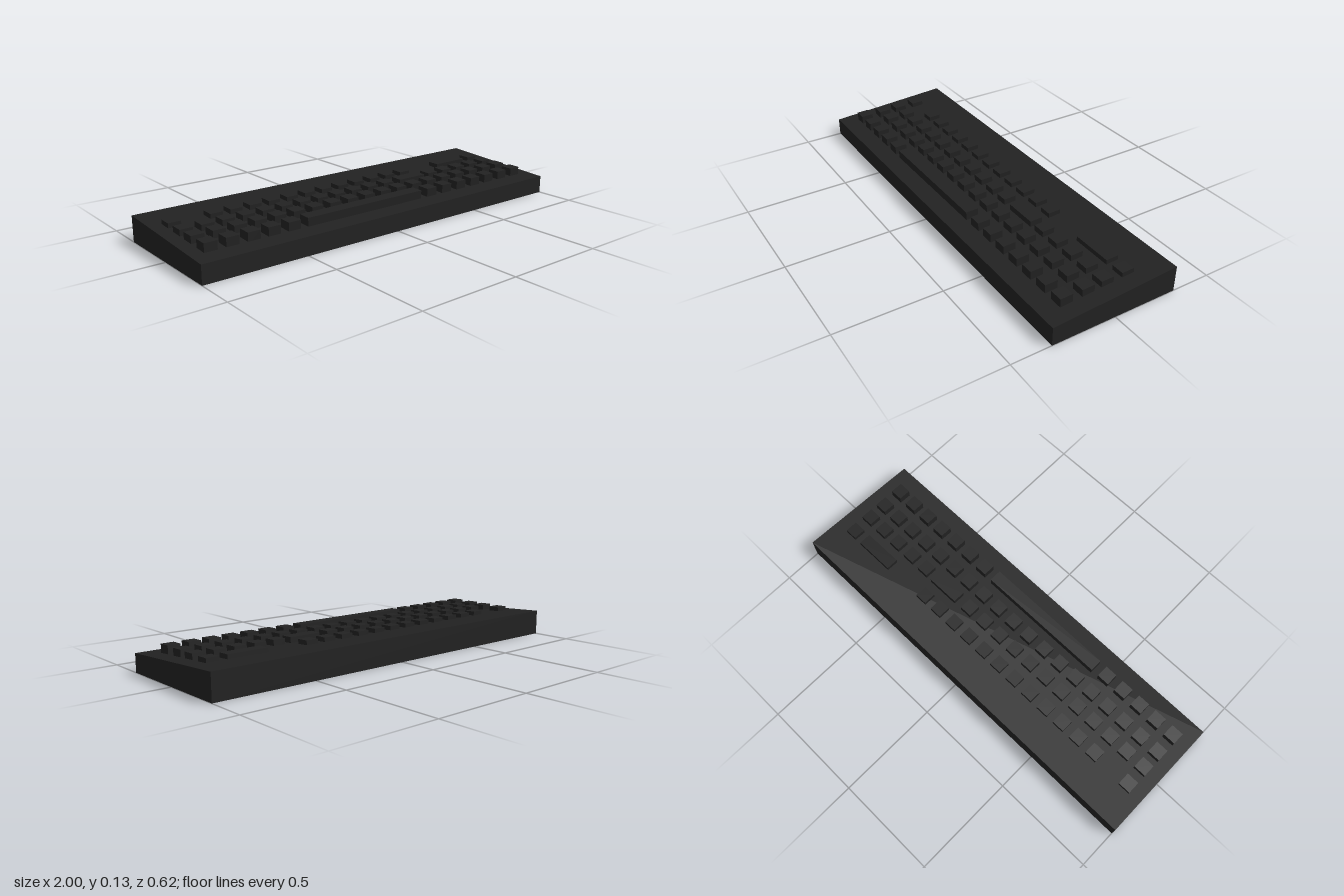
import * as THREE from 'three';

const KEY = 0.061, PITCH = 0.1, FIRST_X = -0.907;

export function createModel() {
  const model = new THREE.Group();
  model.name = 'keyboard';
  const material = new THREE.MeshStandardMaterial({ color: 0x222222, flatShading: true });

  // Wedge-shaped case: the side profile, extruded across the width
  const profile = new THREE.Shape([
    [-0.31, 0], [0.31, 0], [0.31, 0.123], [-0.31, 0.087],
  ].map(([x, y]) => new THREE.Vector2(x, y)));
  const caseGeometry = new THREE.ExtrudeGeometry(profile, { depth: 2, bevelEnabled: false });
  caseGeometry.translate(0, 0, -1).rotateY(Math.PI / 2);
  const body = new THREE.Mesh(caseGeometry, material);
  body.name = 'case';
  model.add(body);

  // One key cap between two x positions, slightly tipped towards the front
  function addKey(row, name, x0, x1) {
    const key = new THREE.Mesh(new THREE.BoxGeometry(x1 - x0, 0.06, KEY), material);
    key.position.x = (x0 + x1) / 2;
    key.name = name;
    row.add(key);
  }

  // Rows from back to front: runs of single keys [first, last] and wide keys [x0, x1]
  const rows = [
    { name: 'backRow', z: -0.118, runs: [[0, 0], [2, 13], [18, 18]], wide: [[0.626, 0.824]] },
    { name: 'upperRow', z: -0.013, runs: [[0, 11], [14, 18]], wide: [[0.268, 0.432]] },
    { name: 'lowerRow', z: 0.083, runs: [[0, 18]], wide: [] },
    { name: 'frontRow', z: 0.19, runs: [[0, 4], [12, 18]], wide: [[-0.438, 0.222]] },
  ];
  for (const { name, z, runs, wide } of rows) {
    const row = new THREE.Group();
    row.name = name;
    row.position.set(0, 0.103, z);
    row.rotation.x = 0.025;
    for (const [first, last] of runs) {
      for (let i = first; i <= last; i++) {
        const x = FIRST_X + i * PITCH;
        addKey(row, 'key', x - KEY / 2, x + KEY / 2);
      }
    }
    for (const [x0, x1] of wide) addKey(row, name === 'frontRow' ? 'spaceBar' : 'wideKey', x0, x1);
    model.add(row);
  }
  return model;
}
